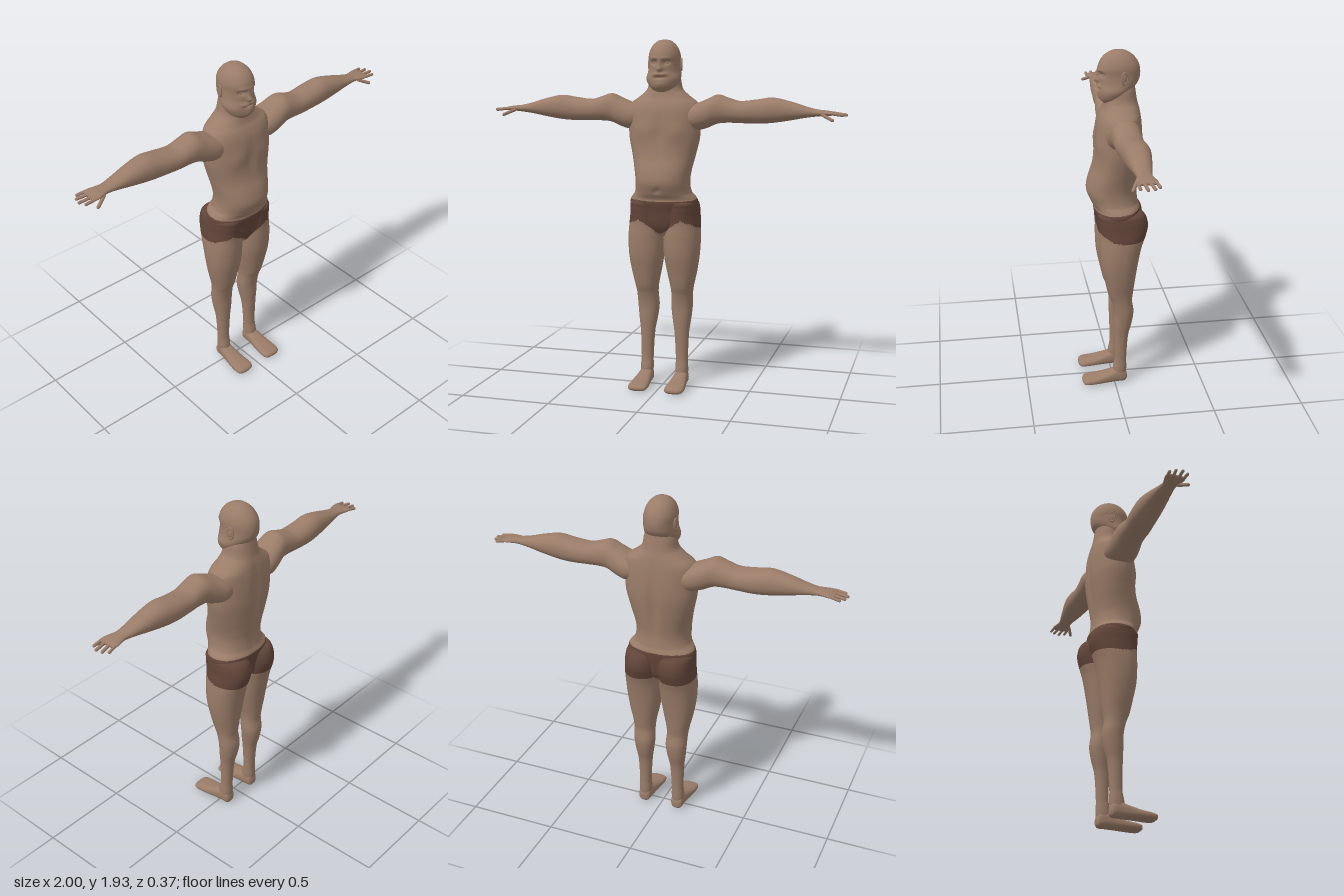
import * as THREE from 'three';

const skin = new THREE.MeshStandardMaterial({ color: 0x9a7c68 });
skin.name = 'skin';
const cloth = new THREE.MeshStandardMaterial({ color: 0x624539 });
cloth.name = 'shortsCloth';

// Smooth interpolation of the section table between rows i and i + 1
function blend(rows, i, u) {
  const slope = (k, c) => {
    const a = rows[Math.max(k - 1, 0)], b = rows[Math.min(k + 1, rows.length - 1)];
    return (b[c] - a[c]) / (b[0] - a[0]);
  };
  const p = rows[i], q = rows[i + 1], h = q[0] - p[0], u2 = u * u, u3 = u2 * u;
  return p.map((v, c) => c === 0 ? v + h * u :
    (2 * u3 - 3 * u2 + 1) * v + (u3 - 2 * u2 + u) * h * slope(i, c) +
    (3 * u2 - 2 * u3) * q[c] + (u3 - u2) * h * slope(i + 1, c));
}

// Loft of superellipse sections [t, a0, a1, b0, b1] along an axis (0 x, 1 y, 2 z);
// a and b are the extents along the next two axes in cyclic order.
function loft(name, rows, { axis, side = 1, power = 2.2, sides = 48, steps = 8, bumps = [], painted = null }) {
  const rings = [];
  for (let i = 0; i < rows.length - 1; i++)
    for (let s = 0; s < steps; s++) rings.push(blend(rows, i, s / steps));
  rings.push(rows[rows.length - 1]);
  const pos = [];
  const put = (t, a, b) => {
    const v = [0, 0, 0];
    v[axis] = t; v[(axis + 1) % 3] = a; v[(axis + 2) % 3] = b;
    const add = [0, 0, 0];
    for (const [c, r, d] of bumps) {
      const w = Math.exp(-v.reduce((sum, x, k) => sum + ((x - c[k]) / r[k]) ** 2, 0));
      d.forEach((x, k) => { add[k] += x * w; });
    }
    pos.push((v[0] + add[0]) * side, v[1] + add[1], v[2] + add[2]);
  };
  const pw = x => Math.sign(x) * Math.abs(x) ** (2 / power);
  for (const [t, a0, a1, b0, b1] of rings)
    for (let j = 0; j < sides; j++) {
      const g = j / sides * Math.PI * 2;
      put(t, (a0 + a1) / 2 + (a1 - a0) / 2 * pw(Math.cos(g)), (b0 + b1) / 2 + (b1 - b0) / 2 * pw(Math.sin(g)));
    }
  for (const [t, a0, a1, b0, b1] of [rings[0], rings[rings.length - 1]]) put(t, (a0 + a1) / 2, (b0 + b1) / 2);

  const faces = [[], []];
  const tri = (a, b, c) => {
    const mid = [0, 1, 2].map(k => (pos[a * 3 + k] + pos[b * 3 + k] + pos[c * 3 + k]) / 3);
    faces[painted && painted(...mid) ? 1 : 0].push(...(side > 0 ? [a, b, c] : [a, c, b]));
  };
  const last = (rings.length - 1) * sides, cap = rings.length * sides;
  for (let j = 0; j < sides; j++) {
    const k = (j + 1) % sides;
    for (let r = 0; r < last; r += sides) {
      tri(r + j, r + k, r + sides + k);
      tri(r + j, r + sides + k, r + sides + j);
    }
    tri(cap, k, j);
    tri(cap + 1, last + j, last + k);
  }
  const geo = new THREE.BufferGeometry();
  geo.setAttribute('position', new THREE.Float32BufferAttribute(pos, 3));
  geo.setIndex([...faces[0], ...faces[1]]);
  geo.addGroup(0, faces[0].length, 0);
  geo.addGroup(faces[0].length, faces[1].length, 1);
  geo.computeVertexNormals();
  const mesh = new THREE.Mesh(geo, painted ? [skin, cloth] : skin);
  mesh.name = name;
  return mesh;
}

// Rounded rod between two points
function rod(name, from, to, radius) {
  const a = new THREE.Vector3(...from), d = new THREE.Vector3(...to).sub(a);
  const mesh = new THREE.Mesh(new THREE.CapsuleGeometry(radius, d.length(), 6, 12), skin);
  mesh.position.copy(a).addScaledVector(d, 0.5);
  mesh.quaternion.setFromUnitVectors(new THREE.Vector3(0, 1, 0), d.normalize());
  mesh.name = name;
  return mesh;
}

// Area covered by the shorts: waistband above, curved leg openings below
function inShorts(x, y, z) {
  const ax = Math.abs(x), front = THREE.MathUtils.smoothstep(z, -0.04, 0.05);
  const opening = ax < 0.12 ? 0.87 + ax * 0.7 : 0.954 - (ax - 0.12) * 0.5;
  return y < 1.063 - z * 0.05 && y > THREE.MathUtils.lerp(0.905, opening, front);
}

const symmetric = rows => rows.map(([y, back, front, half]) => [y, back, front, -half, half]);
const both = (c, r, d) => [1, -1].map(s => [[c[0] * s, c[1], c[2]], r, [d[0] * s, d[1], d[2]]]);

export function createModel() {
  const model = new THREE.Group();
  model.name = 'standingMan';

  // Torso: crotch, waist, belly, chest, shoulders and neck
  model.add(loft('torso', symmetric([
    [0.86, -0.08, 0.05, 0.04], [0.92, -0.13, 0.078, 0.13], [1.0, -0.145, 0.09, 0.175],
    [1.045, -0.15, 0.1, 0.19], [1.07, -0.15, 0.1, 0.182], [1.1, -0.14, 0.118, 0.158],
    [1.16, -0.135, 0.14, 0.15], [1.22, -0.14, 0.132, 0.157], [1.3, -0.15, 0.105, 0.175],
    [1.4, -0.16, 0.092, 0.197], [1.48, -0.16, 0.09, 0.2], [1.55, -0.155, 0.08, 0.2],
    [1.59, -0.15, 0.066, 0.185], [1.62, -0.145, 0.05, 0.145], [1.66, -0.135, 0.04, 0.1],
    [1.72, -0.125, 0.03, 0.085], [1.76, -0.12, 0.02, 0.07],
  ]), {
    axis: 1, sides: 64, painted: inShorts, bumps: [
      [[0, 1.12, 0.13], [0.012, 0.014, 0.03], [0, 0, -0.012]],
      [[0, 1.43, 0.09], [0.02, 0.09, 0.03], [0, 0, -0.008]],
      [[0, 1.35, -0.16], [0.025, 0.2, 0.04], [0, 0, 0.014]],
      ...both([0.1, 1.43, 0.09], [0.06, 0.05, 0.05], [0, 0, 0.01]),
    ],
  }));

  // Head with brow, eye sockets, nose, moustache and bearded jaw
  model.add(loft('head', symmetric([
    [1.64, -0.06, 0.03, 0.045], [1.66, -0.06, 0.056, 0.055], [1.68, -0.07, 0.068, 0.075],
    [1.72, -0.1, 0.073, 0.094], [1.76, -0.138, 0.068, 0.088], [1.8, -0.15, 0.07, 0.084],
    [1.84, -0.148, 0.073, 0.085], [1.87, -0.137, 0.064, 0.078], [1.9, -0.113, 0.042, 0.062],
    [1.92, -0.085, 0.012, 0.04], [1.927, -0.065, -0.01, 0.025], [1.93, -0.04, -0.035, 0.003],
  ]), {
    axis: 1, sides: 72, steps: 8, power: 2.1, bumps: [
      [[0, 1.772, 0.07], [0.015, 0.014, 0.03], [0, 0, 0.022]],
      [[0, 1.8, 0.07], [0.011, 0.025, 0.03], [0, 0, 0.012]],
      [[0, 1.727, 0.073], [0.026, 0.006, 0.03], [0, 0, -0.012]],
      [[0, 1.69, 0.07], [0.03, 0.02, 0.03], [0, 0, 0.006]],
      ...both([0.034, 1.808, 0.06], [0.019, 0.013, 0.03], [0, 0, -0.016]),
      ...both([0.032, 1.83, 0.065], [0.026, 0.009, 0.03], [0, 0, 0.006]),
      ...both([0.02, 1.745, 0.07], [0.02, 0.009, 0.03], [0, 0, 0.013]),
    ],
  }));

  for (const side of [1, -1]) {
    const label = side > 0 ? 'left' : 'right';

    // Eye and ear
    const eye = new THREE.Mesh(new THREE.SphereGeometry(0.011, 16, 12), skin);
    eye.position.set(0.034 * side, 1.807, 0.041);
    eye.name = label + 'Eye';
    const ear = new THREE.Group();
    ear.name = label + 'Ear';
    const rim = new THREE.Mesh(new THREE.TorusGeometry(0.022, 0.0055, 8, 24), skin);
    rim.scale.set(0.75, 1.35, 1);
    rim.name = 'earRim';
    const bowl = new THREE.Mesh(new THREE.SphereGeometry(0.02, 16, 12), skin);
    bowl.scale.set(0.8, 1.3, 0.25);
    bowl.name = 'earBowl';
    ear.add(rim, bowl);
    ear.position.set(0.088 * side, 1.795, -0.055);
    ear.rotation.y = side * (Math.PI / 2 + 0.3);
    model.add(eye, ear);

    // Arm running into the palm
    model.add(loft(label + 'Arm', [
      [0.12, 1.46, 1.57, -0.12, 0.04], [0.18, 1.442, 1.588, -0.13, 0.055], [0.24, 1.455, 1.612, -0.12, 0.055],
      [0.3, 1.48, 1.637, -0.108, 0.05], [0.36, 1.486, 1.62, -0.105, 0.046], [0.42, 1.485, 1.604, -0.105, 0.043],
      [0.52, 1.484, 1.614, -0.11, 0.037], [0.6, 1.489, 1.624, -0.105, 0.034], [0.7, 1.505, 1.603, -0.09, 0.025],
      [0.78, 1.52, 1.579, -0.075, 0.015], [0.84, 1.528, 1.565, -0.065, 0.01], [0.87, 1.531, 1.562, -0.07, 0.018],
      [0.91, 1.533, 1.557, -0.08, 0.028], [0.935, 1.538, 1.55, -0.076, 0.022],
    ], { axis: 0, side, steps: 6 }));

    // Fingers and thumb
    [[-0.07, -0.078, 0.965], [-0.04, -0.052, 0.985], [-0.01, -0.018, 0.992], [0.018, 0.015, 0.975]].forEach(([z0, z1, tip], i) => {
      model.add(rod(label + 'Finger' + (i + 1), [0.92 * side, 1.545, z0], [tip * side, 1.538, z1], 0.008));
    });
    model.add(rod(label + 'Thumb', [0.87 * side, 1.538, 0.012], [0.925 * side, 1.513, 0.04], 0.009));

    // Leg from ankle to buttock
    model.add(loft(label + 'Leg', [
      [0.02, -0.062, 0.0, 0.072, 0.133], [0.08, -0.07, 0.008, 0.066, 0.138], [0.15, -0.069, -0.003, 0.067, 0.135],
      [0.3, -0.08, 0.0, 0.058, 0.14], [0.38, -0.1, 0.003, 0.045, 0.15], [0.45, -0.109, 0.004, 0.037, 0.157],
      [0.52, -0.1, 0.017, 0.04, 0.16], [0.57, -0.105, 0.036, 0.036, 0.167], [0.65, -0.115, 0.054, 0.02, 0.185],
      [0.75, -0.13, 0.074, 0.003, 0.2], [0.85, -0.15, 0.08, -0.002, 0.204], [0.92, -0.173, 0.08, -0.002, 0.2],
      [0.97, -0.185, 0.084, -0.002, 0.195], [1.02, -0.177, 0.088, 0.0, 0.192], [1.05, -0.155, 0.085, 0.01, 0.182],
      [1.06, -0.12, 0.05, 0.04, 0.15],
    ], { axis: 1, side, painted: inShorts }));

    // Foot with a flat sole
    model.add(loft(label + 'Foot', [
      [-0.071, 0.085, 0.12, 0.015, 0.05], [-0.06, 0.07, 0.135, 0.002, 0.075], [-0.02, 0.064, 0.14, 0, 0.085],
      [0.03, 0.06, 0.146, 0, 0.07], [0.1, 0.052, 0.156, 0, 0.05], [0.15, 0.05, 0.158, 0, 0.042],
      [0.175, 0.058, 0.15, 0.003, 0.034], [0.185, 0.08, 0.128, 0.012, 0.024],
    ], { axis: 2, side, power: 2.6, steps: 5, sides: 36 }));
  }
  return model;
}
